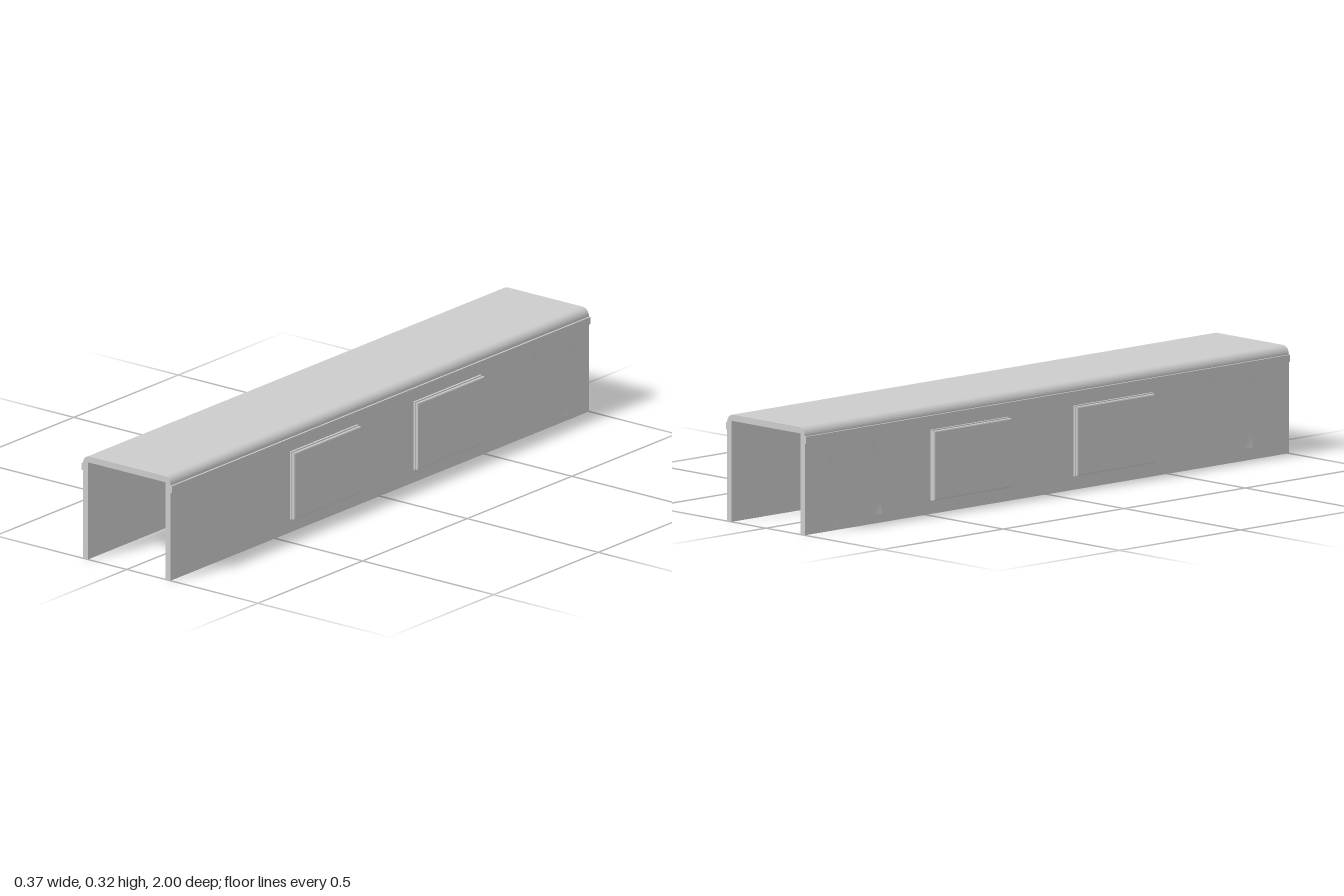
import * as THREE from 'three';

const material = new THREE.MeshStandardMaterial({ color: 0xcccccc, flatShading: true });
const sheetMaterial = new THREE.MeshStandardMaterial({ color: 0xcccccc, side: THREE.DoubleSide });

const LENGTH = 2, HALF = 0.167, HEIGHT = 0.325, WALL = 0.019, RADIUS = 0.025;

function add(parent, name, geometry, mat = material) {
  const mesh = new THREE.Mesh(geometry, mat);
  mesh.name = name;
  parent.add(mesh);
  return mesh;
}

// Inverted U section with rounded outer shoulders
function channelGeometry() {
  const inner = HALF - WALL;
  const s = new THREE.Shape();
  s.moveTo(inner, 0);
  s.lineTo(HALF, 0);
  s.lineTo(HALF, HEIGHT - RADIUS);
  s.absarc(HALF - RADIUS, HEIGHT - RADIUS, RADIUS, 0, Math.PI / 2, false);
  s.lineTo(-HALF + RADIUS, HEIGHT);
  s.absarc(-HALF + RADIUS, HEIGHT - RADIUS, RADIUS, Math.PI / 2, Math.PI, false);
  s.lineTo(-HALF, 0);
  s.lineTo(-inner, 0);
  s.lineTo(-inner, HEIGHT - WALL);
  s.lineTo(inner, HEIGHT - WALL);
  s.closePath();
  return new THREE.ExtrudeGeometry(s, { depth: LENGTH, bevelEnabled: false, curveSegments: 6 })
    .translate(0, 0, -LENGTH / 2);
}

// Rectangular plate with a chamfered outer rim, facing +z
function panelGeometry(w, h) {
  const b = 0.004;
  const s = new THREE.Shape();
  s.moveTo(-w / 2 + b, -h / 2 + b);
  s.lineTo(w / 2 - b, -h / 2 + b);
  s.lineTo(w / 2 - b, h / 2 - b);
  s.lineTo(-w / 2 + b, h / 2 - b);
  s.closePath();
  return new THREE.ExtrudeGeometry(s, {
    depth: 0.003, bevelThickness: b, bevelSize: b, bevelSegments: 2,
  }).translate(0, 0, b);
}

// Thin sheet lying on the wall, its corners curling away slightly
function sheetGeometry(w, h) {
  const g = new THREE.PlaneGeometry(w, h, 12, 12);
  const p = g.attributes.position;
  for (let i = 0; i < p.count; i++) {
    const u = Math.abs(p.getX(i)) / (w / 2), v = Math.abs(p.getY(i)) / (h / 2);
    p.setZ(i, 0.001 + 0.005 * Math.pow(u * v, 4));
  }
  g.computeVertexNormals();
  return g;
}

export function createModel() {
  const model = new THREE.Group();
  model.name = 'channelCover';
  add(model, 'channel', channelGeometry());

  for (const side of [1, -1]) {
    const label = side > 0 ? 'left' : 'right';

    // Narrow drip strip under the shoulder
    add(model, label + 'Strip', new THREE.BoxGeometry(0.008, 0.022, LENGTH))
      .position.set(side * (HALF + 0.002), 0.288, 0);

    // Raised panels: backing plate and chamfered cover
    for (const z of [0.27, -0.32]) {
      const panel = new THREE.Group();
      panel.name = label + 'Panel';
      panel.position.set(side * HALF, 0.148, z);
      panel.rotation.y = side * Math.PI / 2;
      add(panel, 'backing', new THREE.BoxGeometry(0.32, 0.214, 0.01)).position.z = 0.002;
      add(panel, 'cover', panelGeometry(0.32, 0.21)).position.z = 0.0065;
      model.add(panel);
    }
  }

  // Loose sheets: side, z, height and tilt
  const sheets = [[1, -0.81, 0.142, 0.13], [-1, -0.795, 0.13, -0.11], [-1, 0.75, 0.152, 0.02]];
  for (const [side, z, y, tilt] of sheets) {
    const holder = new THREE.Group();
    holder.name = 'sheetHolder';
    holder.position.set(side * HALF, y, z);
    holder.rotation.y = side * Math.PI / 2;
    add(holder, 'sheet', sheetGeometry(0.195, 0.225), sheetMaterial).rotation.z = -tilt;
    model.add(holder);
  }
  return model;
}
